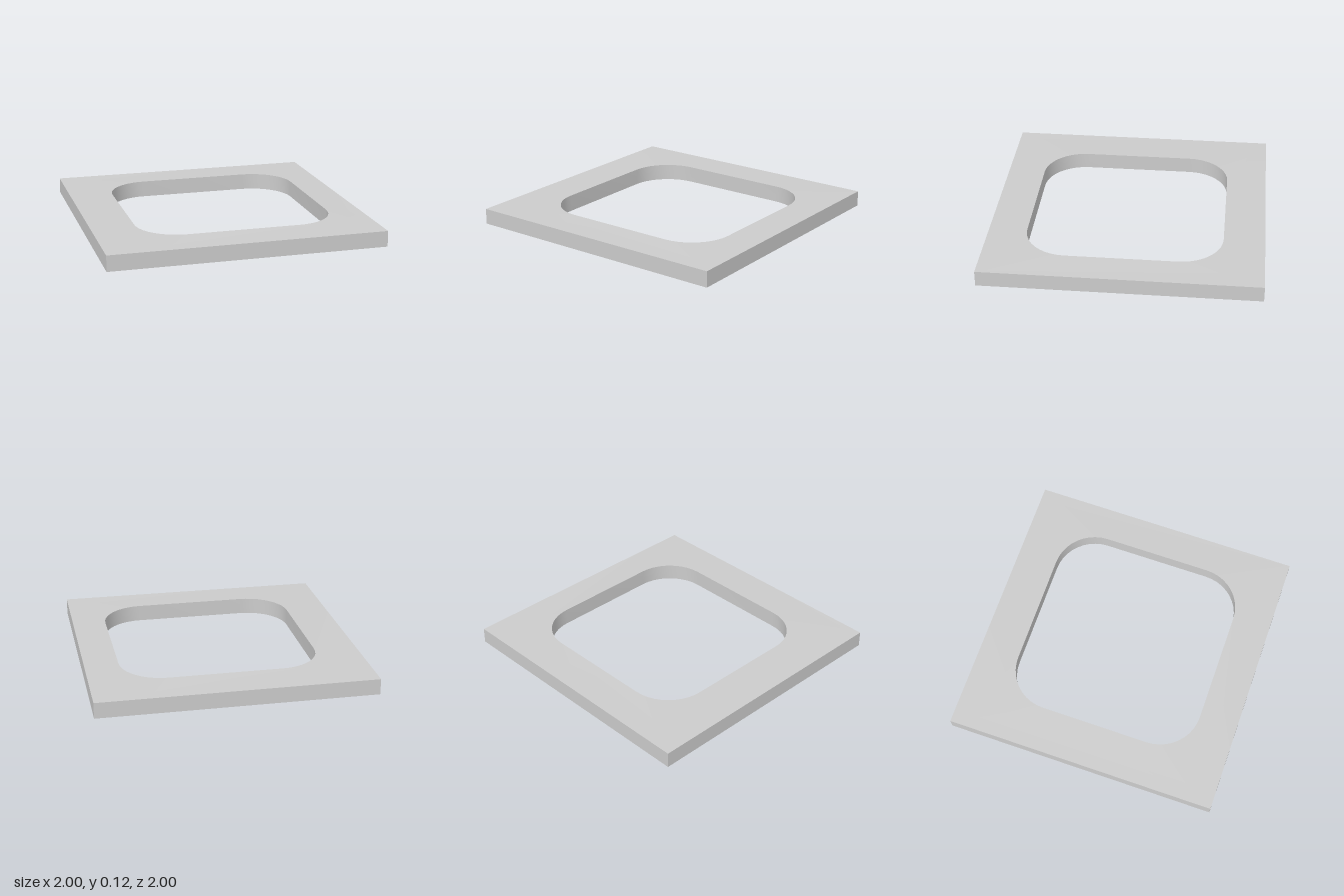
import * as THREE from 'three';
import { toCreasedNormals } from 'three/addons/utils/BufferGeometryUtils.js';

const EDGE_HEIGHT = 0.115;
const RIM_HEIGHT = 0.122;

// Rounded rectangular opening, slightly off centre (shape y becomes -z)
function roundedOpening(x0, x1, y0, y1, r) {
  const path = new THREE.Path();
  const centres = [[x1 - r, y1 - r], [x0 + r, y1 - r], [x0 + r, y0 + r], [x1 - r, y0 + r]];
  centres.forEach(([cx, cy], i) => {
    const start = i * Math.PI / 2;
    path.absarc(cx, cy, r, start, start + Math.PI / 2, false);
  });
  path.closePath();
  return path;
}

export function createModel() {
  const group = new THREE.Group();
  group.name = 'squareFrame';

  // Square plate with the opening cut through
  const outline = new THREE.Shape([
    new THREE.Vector2(-1, -1), new THREE.Vector2(1, -1),
    new THREE.Vector2(1, 1), new THREE.Vector2(-1, 1),
  ]);
  outline.holes.push(roundedOpening(-0.685, 0.755, -0.72, 0.703, 0.31));
  const plate = new THREE.ExtrudeGeometry(outline, {
    depth: EDGE_HEIGHT, bevelEnabled: false, curveSegments: 5,
  });
  plate.rotateX(-Math.PI / 2);

  // Raise the top face very slightly towards the opening
  const pos = plate.attributes.position;
  for (let i = 0; i < pos.count; i++) {
    const outer = Math.max(Math.abs(pos.getX(i)), Math.abs(pos.getZ(i))) > 0.99;
    const top = pos.getY(i) > EDGE_HEIGHT / 2;
    pos.setY(i, top ? (outer ? EDGE_HEIGHT : RIM_HEIGHT) : 0);
  }

  const frame = new THREE.Mesh(
    toCreasedNormals(plate, 0.5),
    new THREE.MeshStandardMaterial({ color: 0xcccccc }),
  );
  frame.name = 'framePlate';
  group.add(frame);
  return group;
}
